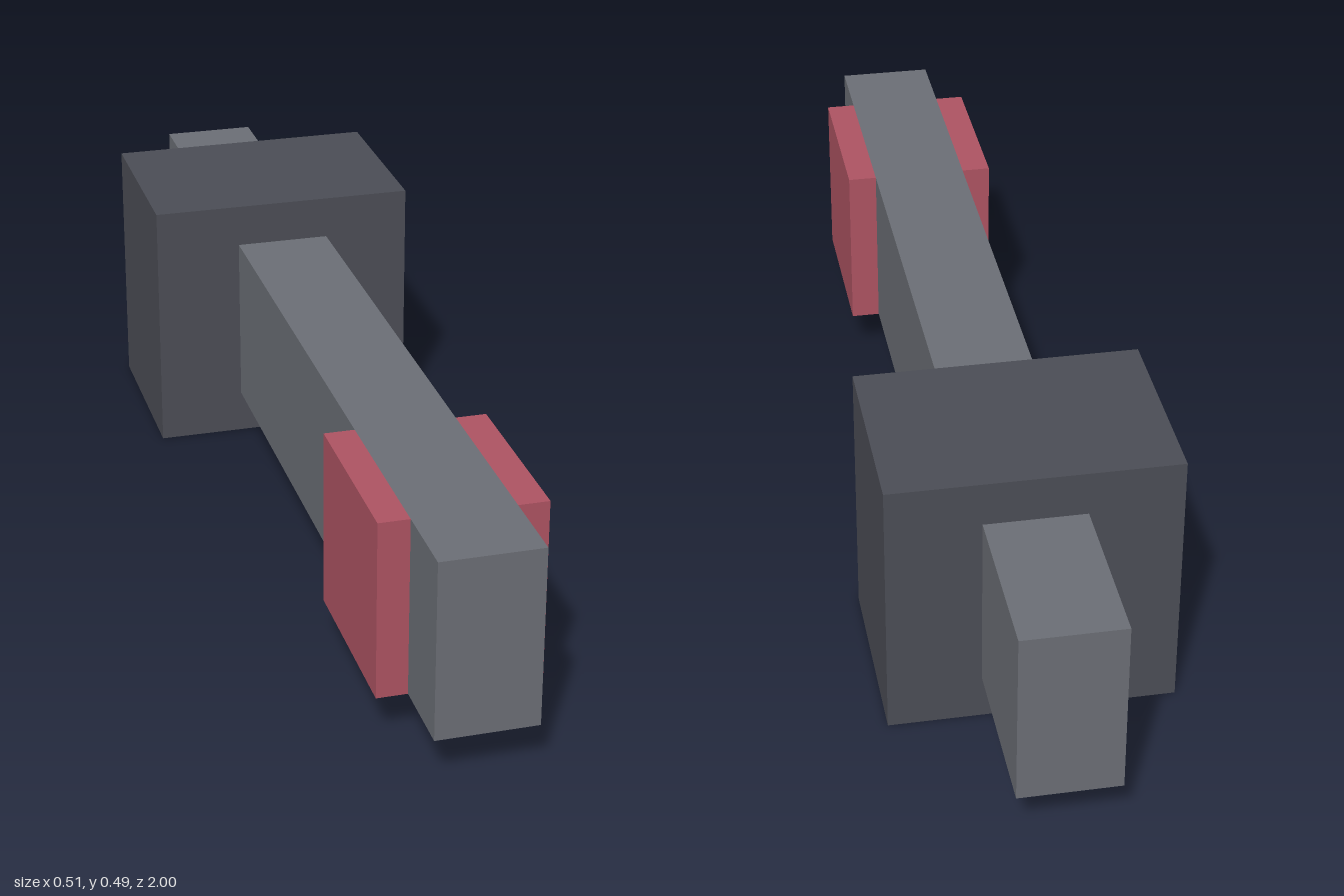
import * as THREE from 'three';

// Box given by its min and max corners
function addBox(parent, name, color, min, max) {
  const size = max.map((v, i) => v - min[i]);
  const mesh = new THREE.Mesh(
    new THREE.BoxGeometry(...size),
    new THREE.MeshStandardMaterial({ color, flatShading: true })
  );
  mesh.position.set(...max.map((v, i) => (v + min[i]) / 2));
  mesh.name = name;
  parent.add(mesh);
  return mesh;
}

export function createModel() {
  const model = new THREE.Group();
  model.name = 'hammer';
  const bottom = 0.083, top = 0.409;

  // Long handle, running through the head and out the back
  addBox(model, 'handle', 0x6b6e75, [-0.09, bottom, -1], [0.09, top, 1]);

  // Heavy block head
  addBox(model, 'head', 0x4b4d55, [-0.255, 0, -0.69], [0.255, 0.49, -0.33]);

  // Red grip pads on both sides, flush with the handle's top and bottom
  const grip = new THREE.Group();
  grip.name = 'grip';
  addBox(grip, 'leftGripPad', 0xad5362, [0.09, bottom, 0.525], [0.145, top, 0.855]);
  addBox(grip, 'rightGripPad', 0xad5362, [-0.145, bottom, 0.525], [-0.09, top, 0.855]);
  model.add(grip);

  return model;
}
